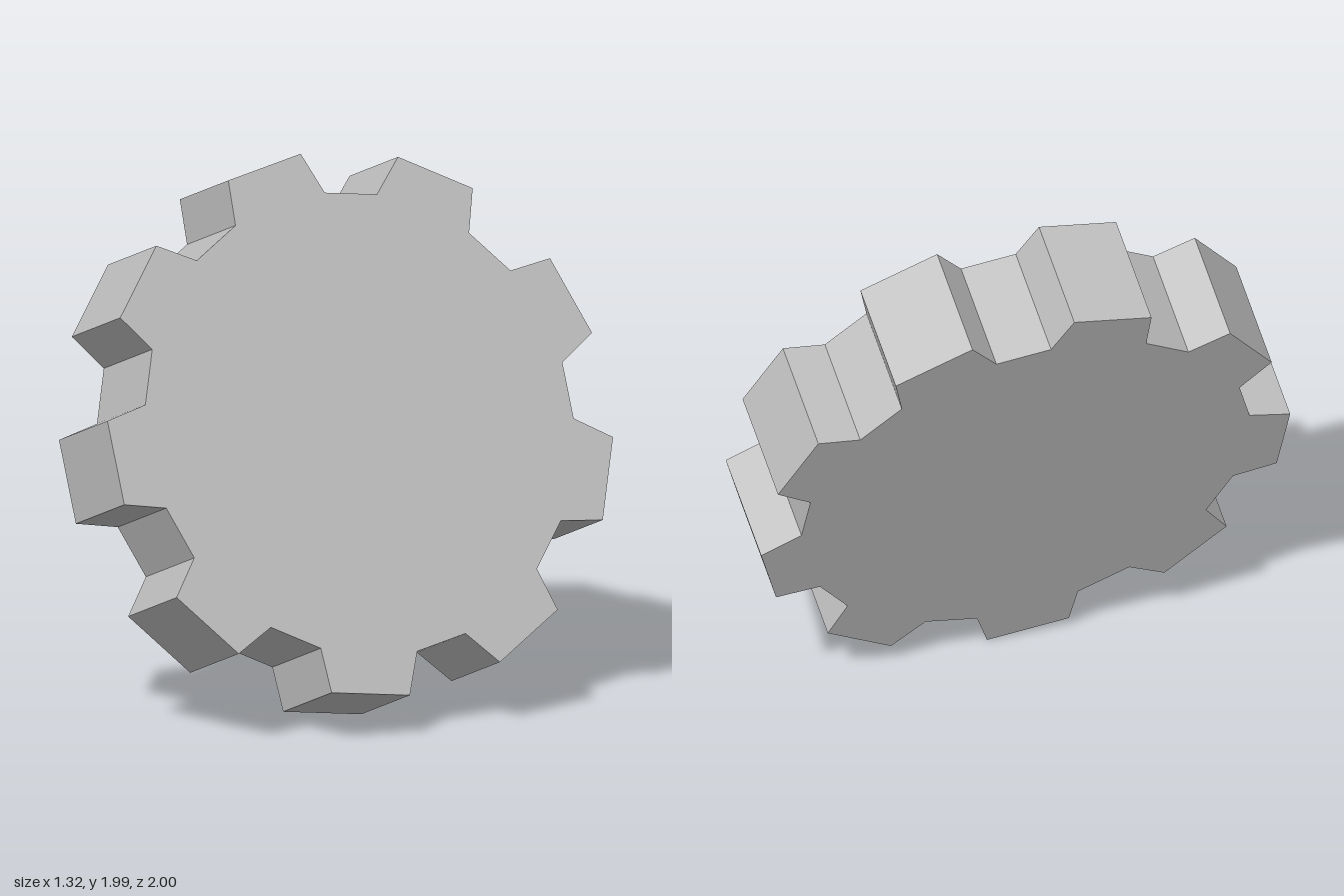
import * as THREE from 'three';

const TEETH = 9, TIP_R = 0.987, ROOT_R = 0.837, THICKNESS = 0.423;
const TIP_HALF = 8.9, ROOT_HALF = 13; // half widths of a tooth, in degrees

// Closed gear outline: four corners per tooth
function gearShape() {
  const points = [];
  const add = (r, deg) => {
    const a = THREE.MathUtils.degToRad(deg);
    points.push(new THREE.Vector2(r * Math.cos(a), r * Math.sin(a)));
  };
  for (let i = 0; i < TEETH; i++) {
    const mid = (i * 360) / TEETH;
    add(ROOT_R, mid - ROOT_HALF);
    add(TIP_R, mid - TIP_HALF);
    add(TIP_R, mid + TIP_HALF);
    add(ROOT_R, mid + ROOT_HALF);
  }
  return new THREE.Shape(points);
}

export function createModel() {
  const group = new THREE.Group();
  group.name = 'gear';

  const grey = new THREE.MeshStandardMaterial({ color: 0xc0c0c0 });
  grey.name = 'light grey';

  // Toothed disc, centred on its own axis
  const geometry = new THREE.ExtrudeGeometry(gearShape(), { depth: THICKNESS, bevelEnabled: false });
  geometry.translate(0, 0, -THICKNESS / 2);
  const wheel = new THREE.Mesh(geometry, grey);
  wheel.name = 'toothedWheel';

  // Tilt: the axle direction, and the direction of the first tooth
  const axle = new THREE.Vector3(0.875, 0.355, 0.331).normalize();
  const tooth = new THREE.Vector3(-0.402, 0.912, 0.083);
  const side = new THREE.Vector3().crossVectors(axle, tooth).normalize();
  tooth.crossVectors(side, axle);
  wheel.quaternion.setFromRotationMatrix(new THREE.Matrix4().makeBasis(tooth, side, axle));
  wheel.position.y = 1;

  group.add(wheel);
  return group;
}
